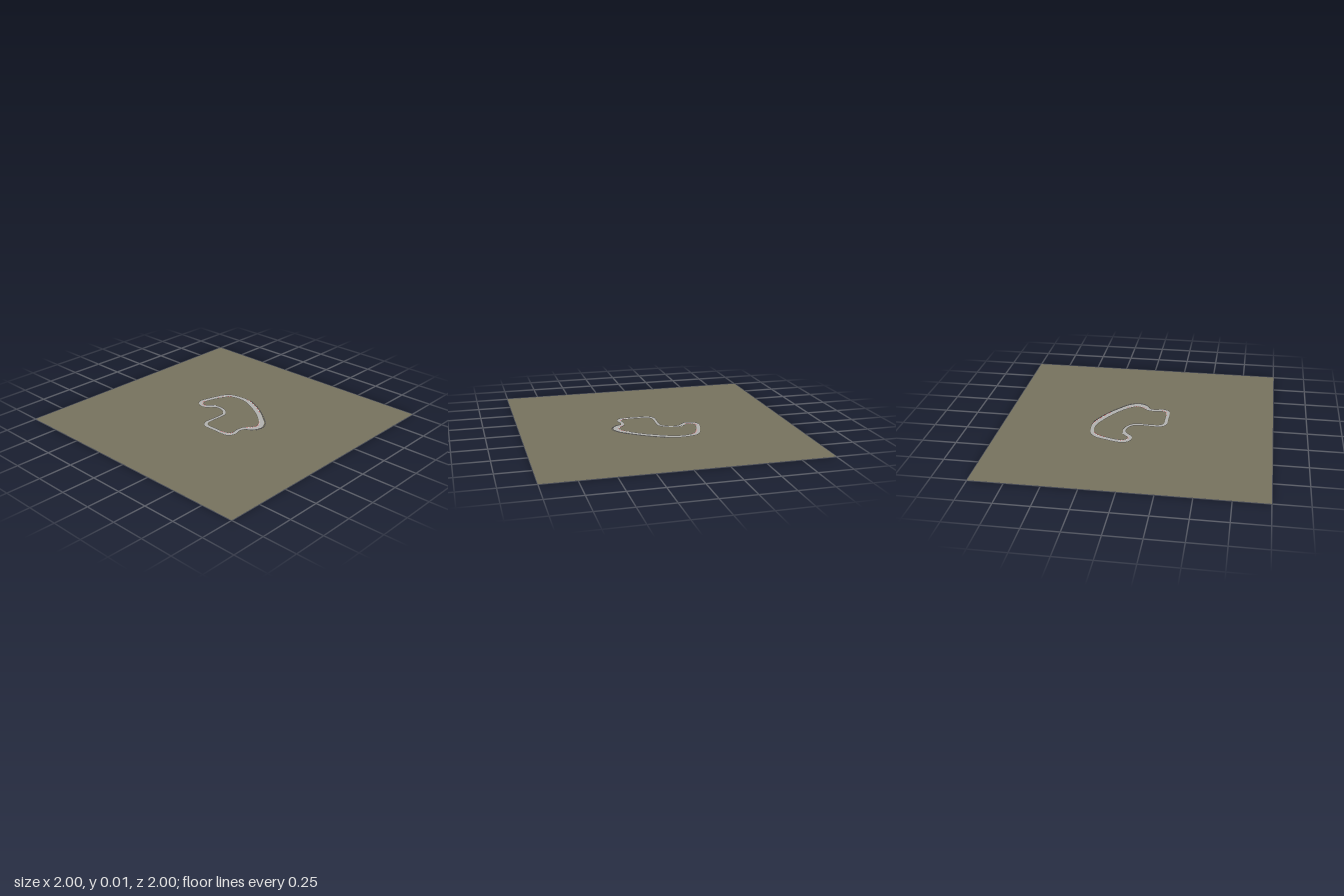
import * as THREE from 'three';

const mat = (name, color) => {
  const m = new THREE.MeshStandardMaterial({ color, side: THREE.DoubleSide });
  m.name = name;
  return m;
};

// Circuit control points: x, z, half width of the road
const CIRCUIT = [
  [-0.2, 0.0, 0.012], [-0.205, 0.08, 0.011], [-0.205, 0.16, 0.012], [-0.195, 0.215, 0.015],
  [-0.155, 0.235, 0.013], [-0.1, 0.225, 0.01], [-0.05, 0.235, 0.013], [-0.01, 0.28, 0.022],
  [0.04, 0.3, 0.021], [0.1, 0.275, 0.02], [0.15, 0.225, 0.017], [0.22, 0.135, 0.017],
  [0.285, 0.02, 0.018], [0.318, -0.065, 0.016], [0.322, -0.14, 0.012], [0.305, -0.215, 0.014],
  [0.265, -0.255, 0.016], [0.19, -0.285, 0.014], [0.11, -0.308, 0.014], [0.065, -0.31, 0.016],
  [0.03, -0.28, 0.015], [0.028, -0.235, 0.014], [0.062, -0.198, 0.013], [0.084, -0.15, 0.009],
  [0.072, -0.085, 0.009], [0.03, -0.038, 0.009], [-0.02, -0.03, 0.008], [-0.1, -0.033, 0.008],
  [-0.165, -0.03, 0.011],
];
const N = CIRCUIT.length;
const curve = new THREE.CatmullRomCurve3(CIRCUIT.map(([x, z, w]) => new THREE.Vector3(x, w, z)), true);

// Point at station s (control point number), offset side * half width + extra; positive is outwards
function at(s, side, extra, y) {
  const t = (((s / N) % 1) + 1) % 1;
  const p = curve.getPoint(t);
  const d = curve.getTangent(t);
  const l = Math.hypot(d.x, d.z);
  const o = side * p.y + extra;
  return [p.x - (d.z / l) * o, y, p.z + (d.x / l) * o];
}

// Ribbon between two edges, each given as [side, extra, y]
function ribbon(name, material, s0, s1, a, b) {
  const steps = Math.max(2, Math.ceil((s1 - s0) * 8));
  const pos = [], idx = [];
  for (let i = 0; i <= steps; i++) {
    const s = s0 + ((s1 - s0) * i) / steps;
    pos.push(...at(s, ...a), ...at(s, ...b));
    if (i < steps) {
      const k = i * 2;
      idx.push(k, k + 1, k + 2, k + 1, k + 3, k + 2);
    }
  }
  const g = new THREE.BufferGeometry();
  g.setAttribute('position', new THREE.Float32BufferAttribute(pos, 3));
  g.setIndex(idx);
  g.computeVertexNormals();
  const m = new THREE.Mesh(g, material);
  m.name = name;
  return m;
}

export function createModel() {
  const group = new THREE.Group();
  group.name = 'raceCircuit';
  const earth = mat('earth', 0x77735f);
  const asphalt = mat('asphalt', 0xb2b2b0);
  const red = mat('kerbRed', 0xc8605e);
  const white = mat('kerbWhite', 0xd8d4d2);
  const steel = mat('barrierSteel', 0x5a5856);
  const base = mat('roadBase', 0x8c8a86);

  // Flat square of land
  const land = new THREE.Mesh(new THREE.PlaneGeometry(2, 2), earth);
  land.rotation.x = -Math.PI / 2;
  land.position.y = 0.001;
  land.name = 'land';
  group.add(land);

  // Road surface and its foundation showing below the land
  group.add(ribbon('road', asphalt, 0, N, [-1, 0, 0.0025], [1, 0, 0.0025]));
  group.add(ribbon('roadFoundation', base, 0, N, [0, -0.005, 0], [0, 0.005, 0]));

  // Low barriers all round, taller fence along the main straight
  for (const side of [-1, 1]) {
    group.add(ribbon('barrier', steel, 0, N, [side, side * 0.003, 0.001], [side, side * 0.003, 0.0045]));
  }
  group.add(ribbon('straightFence', steel, 6.2, 12.9, [1, 0.004, 0.001], [1, 0.004, 0.007]));

  // Striped kerbs: from station, to station, side
  const kerbs = [[1.8, 4, -1], [6.3, 9.8, -1], [11, 13.2, 1], [15, 16.8, -1], [18, 21.5, -1]];
  for (const [from, to, side] of kerbs) {
    const count = Math.round((to - from) * 5);
    for (let i = 0; i < count; i++) {
      const s = from + ((to - from) * i) / count;
      group.add(ribbon('kerb', i % 2 ? white : red, s, s + (to - from) / count,
        [side, side < 0 ? 0 : -0.006, 0.0035], [side, side < 0 ? 0.006 : 0, 0.0035]));
    }
  }

  // Pit lane spurs at the start and at the hairpin
  for (const [x, z, len, turn] of [[-0.035, 0.238, 0.035, -0.8], [0.075, -0.2, 0.05, -0.75]]) {
    const spur = new THREE.Mesh(new THREE.BoxGeometry(len, 0.001, 0.009), asphalt);
    spur.position.set(x, 0.0025, z);
    spur.rotation.y = turn;
    spur.name = 'spur';
    group.add(spur);
  }

  // Small stands along the outside of the main straight
  for (let i = 0; i < 20; i++) {
    const s = 7.4 + i * 0.27;
    const stand = new THREE.Mesh(new THREE.BoxGeometry(0.008, 0.005, 0.006), steel);
    stand.position.set(...at(s, 1, 0.009, 0.0035));
    const [ax, , az] = at(s, 0, 0, 0);
    stand.rotation.y = Math.atan2(stand.position.x - ax, stand.position.z - az);
    stand.name = 'stand';
    group.add(stand);
  }
  return group;
}
